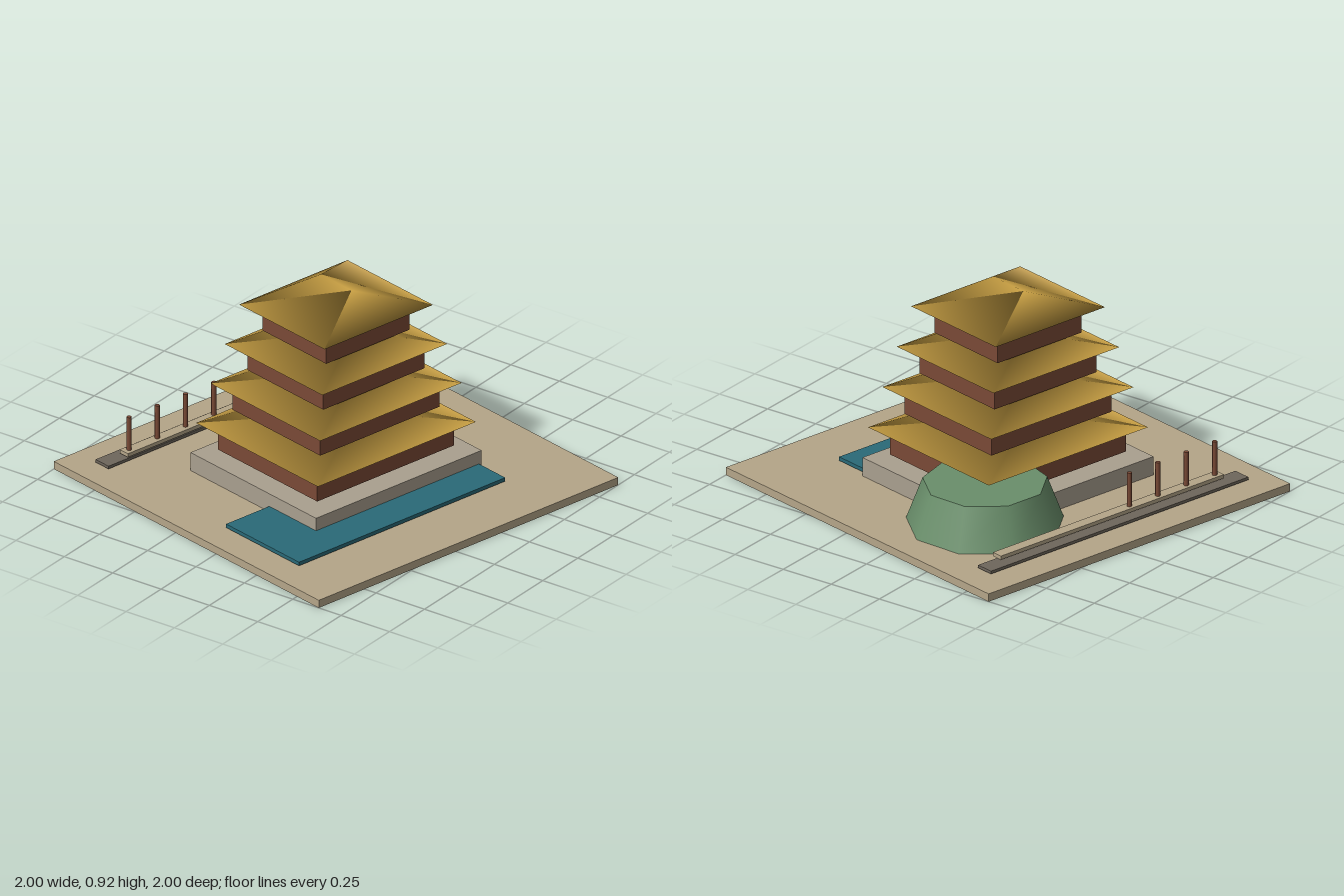
import * as THREE from 'three';

const mat = (color, extra = {}) => new THREE.MeshStandardMaterial({ color, ...extra });
const sand = mat(0xb5a689), stone = mat(0xaaa08f), timber = mat(0x7a4a36), gold = mat(0xc9a043);
const water = mat(0x2a6a78), grass = mat(0x6a8f6b), paving = mat(0x6f675c);

// Hipped roof with smooth shared normals; the ridge runs along x or z
function hipRoof(a, b, height, ridge, alongX = false) {
  const [rx, rz] = alongX ? [ridge, 0] : [0, ridge];
  const g = new THREE.BufferGeometry();
  g.setAttribute('position', new THREE.Float32BufferAttribute([
    -a, 0, -b, a, 0, -b, a, 0, b, -a, 0, b,
    -rx, height, -rz, rx, height, rz,
  ], 3));
  const sides = alongX
    ? [3, 2, 5, 3, 5, 4, 1, 0, 4, 1, 4, 5, 2, 1, 5, 0, 3, 4]
    : [3, 2, 5, 1, 0, 4, 2, 1, 4, 2, 4, 5, 0, 3, 5, 0, 5, 4];
  g.setIndex([0, 1, 2, 0, 2, 3, ...sides]);
  g.computeVertexNormals();
  return g;
}

export function createModel() {
  const root = new THREE.Group();
  const site = new THREE.Group();
  site.name = 'templeSite';
  site.rotation.y = -0.22;
  root.add(site);

  const add = (name, geometry, material, x, y, z) => {
    const m = new THREE.Mesh(geometry, material);
    m.name = name;
    m.position.set(x, y, z);
    site.add(m);
    return m;
  };
  // Box given by its bottom and top heights
  const slab = (name, material, w, d, y0, y1, x = 0, z = 0) =>
    add(name, new THREE.BoxGeometry(w, y1 - y0, d), material, x, (y0 + y1) / 2, z);

  // Ground, pond and stone platform
  slab('ground', sand, 1.675, 1.675, 0, 0.036);
  slab('pond', water, 1.153, 0.461, 0.045, 0.062, -0.128, 0.332);
  slab('platform', stone, 0.926, 0.794, 0.036, 0.121);

  // Four shrinking storeys, each a wall block under a wide roof
  for (let i = 0; i < 4; i++) {
    const y = 0.14 + i * 0.185;
    slab(`storeyWall${i + 1}`, timber, 2 * (0.383 - i * 0.05), 2 * (0.314 - i * 0.0375), y, y + 0.104);
    const a = 0.442 - i * 0.0463, b = 0.385 - i * 0.0383;
    add(`roof${i + 1}`, hipRoof(a, b, 0.106, 0.36 * b), gold, 0, 0.258 + i * 0.1855, 0);
  }
  // Low inner roof showing between the first wall and its roof
  add('innerRoof', hipRoof(0.37, 0.22, 0.07, 0.1, true), water, 0, 0.215, 0);

  // Hill beside the tower
  add('hill', new THREE.CylinderGeometry(0.265, 0.335, 0.189, 9), grass, 0.38, 0.1305, -0.29);

  // Walkway behind the tower with a raised beam and posts
  slab('walkway', paving, 1.43, 0.082, 0.043, 0.056, -0.005, -0.665);
  slab('walkwayBeam', sand, 1.24, 0.051, 0.067, 0.084, 0, -0.64);
  for (let i = 0; i < 4; i++) {
    add(`post${i + 1}`, new THREE.CylinderGeometry(0.011, 0.011, 0.155, 8), timber,
      -0.59 + i * 0.158, 0.161, -0.641);
  }
  return root;
}
